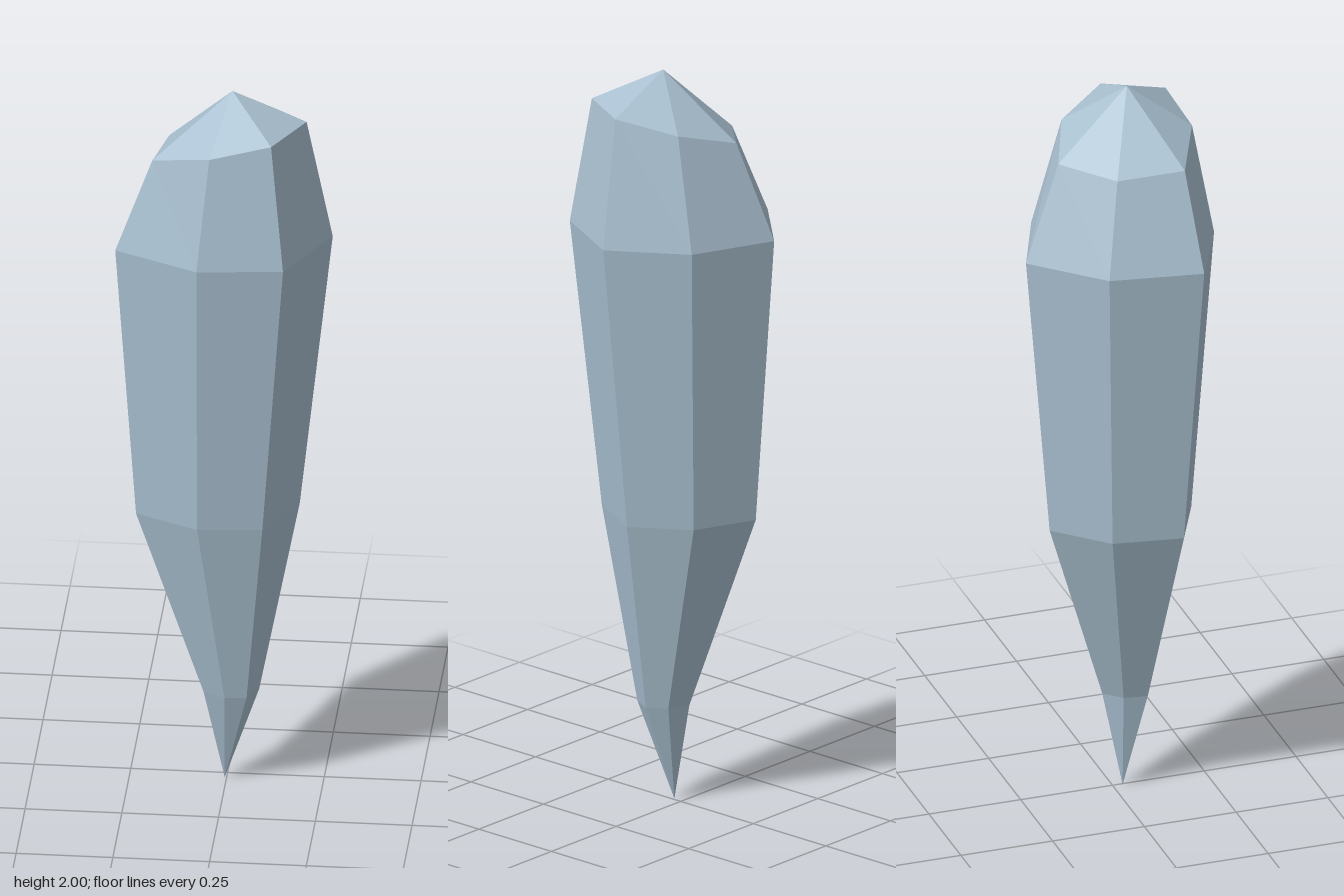
import * as THREE from 'three';

export function createModel() {
  const group = new THREE.Group();
  group.name = 'crystalShard';
  const crystal = new THREE.MeshStandardMaterial({ color: 0xa9c0d0, flatShading: true });
  crystal.name = 'paleBlueCrystal';

  // Irregular seven-sided outline (x, z) at the widest level
  const outline = [[-0.07, -0.26], [0.148, -0.17], [0.274, 0.023], [0.165, 0.235],
    [-0.057, 0.257], [-0.276, 0.154], [-0.236, -0.09]];
  const ring = (y, s, dx, dz) => outline.map(([x, z]) => [x * s + dx, y, z * s + dz]);

  // Cross-sections from the bottom tip to the slanted shoulder
  const rings = [
    ring(0, 0, -0.005, 0.026),
    ring(0.27, 0.255, 0.016, 0.038),
    ring(0.8, 0.753, -0.018, 0),
    ring(1.58, 1, 0, 0),
    [[-0.036, -0.16], [0.119, -0.097], [0.208, 0.04], [0.13, 0.19],
      [-0.028, 0.207], [-0.182, 0.134], [-0.154, -0.04]]
      .map(([x, z]) => [x, 1.862 + 0.24 * x + 0.125 * z, z]),
    ring(2, 0, 0.017, 0.045),
  ];

  // Join neighbouring rings; the tips need only one triangle per side
  const positions = [];
  const n = outline.length;
  for (let r = 0; r < rings.length - 1; r++) {
    const low = rings[r], high = rings[r + 1];
    for (let i = 0; i < n; i++) {
      const j = (i + 1) % n;
      if (r < rings.length - 2) positions.push(...low[i], ...high[i], ...high[j]);
      if (r > 0) positions.push(...low[i], ...high[j], ...low[j]);
    }
  }
  const geometry = new THREE.BufferGeometry();
  geometry.setAttribute('position', new THREE.Float32BufferAttribute(positions, 3));
  geometry.computeVertexNormals();

  const shard = new THREE.Mesh(geometry, crystal);
  shard.name = 'shard';
  group.add(shard);
  return group;
}
